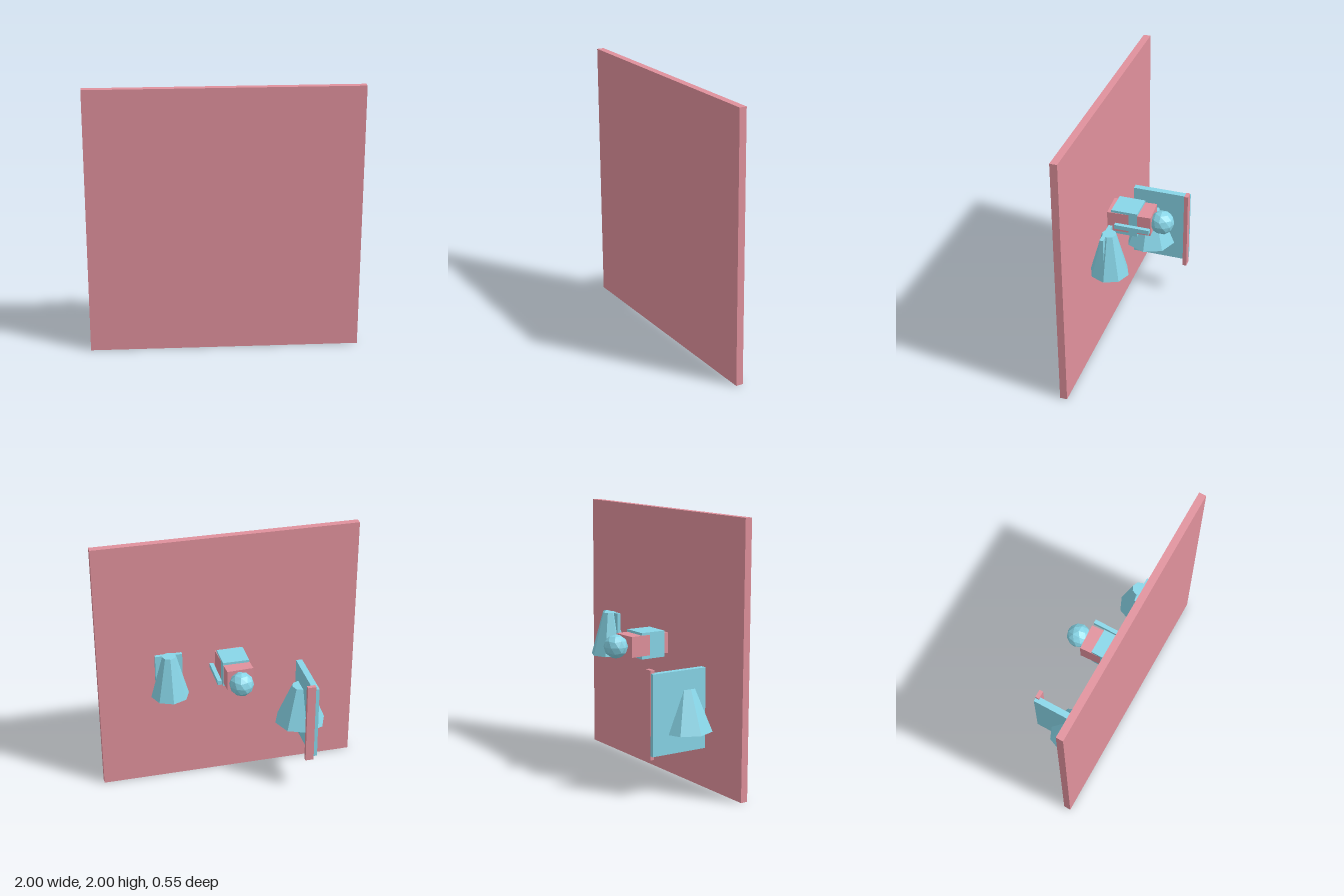
import * as THREE from 'three';

const pink = new THREE.MeshStandardMaterial({ color: 0xe0919c, flatShading: true });
const blue = new THREE.MeshStandardMaterial({ color: 0x88d6e8, flatShading: true });

export function createModel() {
  const model = new THREE.Group();

  const add = (name, geometry, material, x, y, z) => {
    const mesh = new THREE.Mesh(geometry, material);
    mesh.name = name;
    mesh.position.set(x, y, z);
    model.add(mesh);
    return mesh;
  };

  // Box given by its [min, max] along each axis
  const box = (name, material, [x0, x1], [y0, y1], [z0, z1]) =>
    add(name, new THREE.BoxGeometry(x1 - x0, y1 - y0, z1 - z0), material,
      (x0 + x1) / 2, (y0 + y1) / 2, (z0 + z1) / 2);

  // Eight-sided tapered body standing between y0 and y1
  const frustum = (name, rTop, rBottom, x, [y0, y1], z) =>
    add(name, new THREE.CylinderGeometry(rTop, rBottom, y1 - y0, 8), blue, x, (y0 + y1) / 2, z);

  // Large square board at the front
  box('frontBoard', pink, [-1, 1], [0, 2], [0.222, 0.276]);

  // Upright panel with a tapered body through it and a trim strip at its back edge
  box('uprightPanel', blue, [-0.583, -0.535], [0.305, 0.902], [-0.245, 0.207]);
  box('panelStrip', pink, [-0.556, -0.492], [0.275, 0.925], [-0.247, -0.216]);
  frustum('wideCone', 0.068, 0.198, -0.535, [0.447, 0.757], 0.067);

  // Narrow tapered body with a thin plate through its top
  frustum('narrowCone', 0.052, 0.143, 0.487, [0.836, 1.166], 0.058);
  box('conePlate', blue, [0.386, 0.589], [0.9, 1.166], [0.068, 0.096]);

  // Central block, slightly turned, wrapped by a cube
  box('centralBlock', pink, [-0.1, 0.1], [0.924, 1.079], [-0.12, 0.21]).rotation.y = 0.05;
  box('centralCube', blue, [-0.1, 0.1], [0.9, 1.098], [-0.024, 0.176]);

  // Faceted ball behind the block, one vertex pointing up
  add('ball', new THREE.IcosahedronGeometry(0.091, 1), blue, 0, 1, -0.187)
    .rotation.z = -Math.atan(2 / (1 + Math.sqrt(5)));

  // Thin bar beside the block
  box('sideBar', blue, [0.136, 0.167], [0.985, 1.018], [-0.135, 0.132]);

  return model;
}
